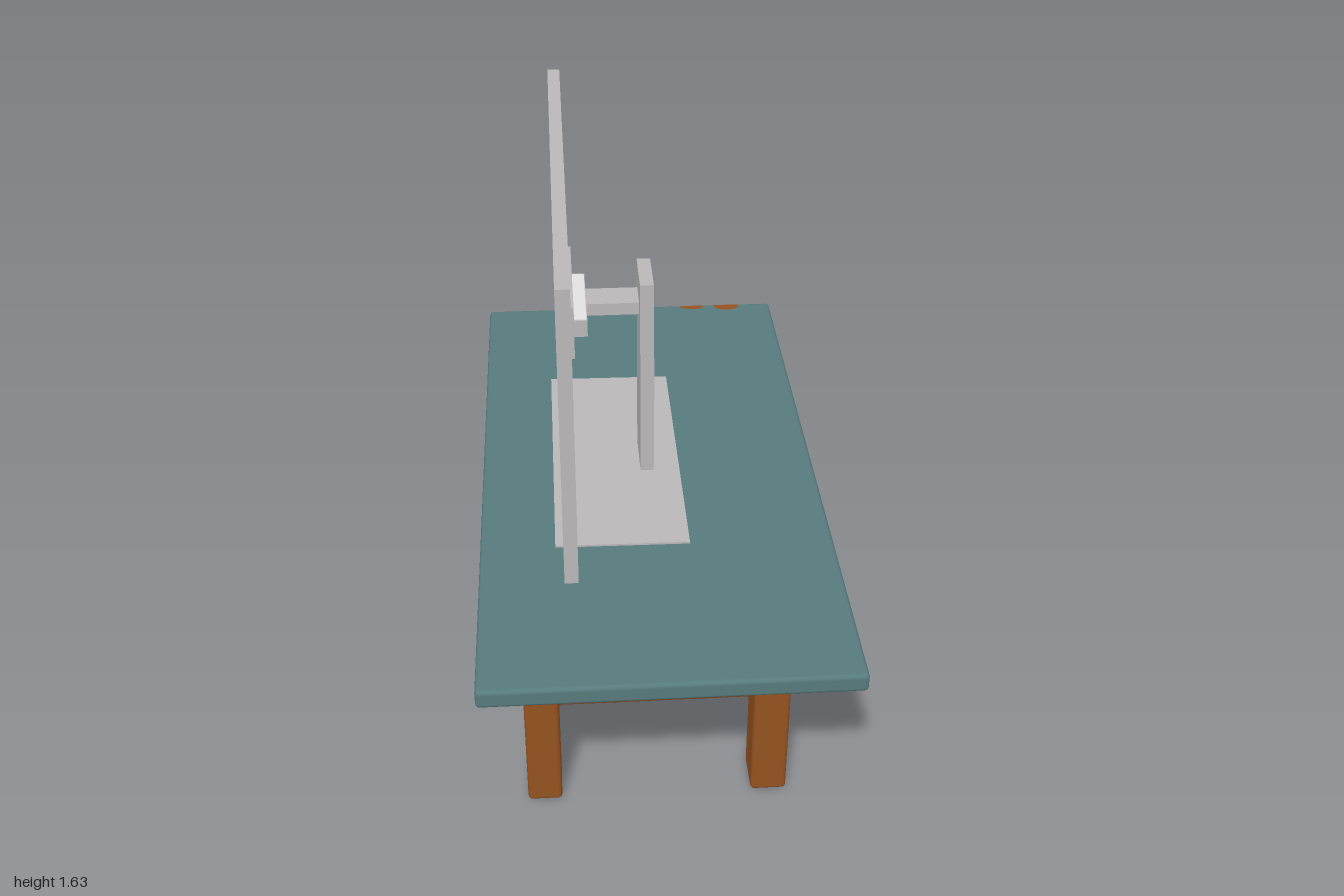
import * as THREE from 'three';
import { RoundedBoxGeometry } from 'three/addons/geometries/RoundedBoxGeometry.js';

const mat = (name, color, side = THREE.FrontSide) =>
  Object.assign(new THREE.MeshStandardMaterial({ color, side }), { name });

export function createModel() {
  const group = new THREE.Group();
  const teal = mat('teal paint', 0x577b7d);
  const wood = mat('brown wood', 0x955220, THREE.DoubleSide);
  const grey = mat('grey plastic', 0xbab8b8);
  const light = mat('light grey', 0xe2e2e2, THREE.DoubleSide);

  // Box given by its extents; r > 0 rounds the edges
  function box(name, material, [x0, x1], [y0, y1], [z0, z1], r = 0) {
    const s = [x1 - x0, y1 - y0, z1 - z0];
    const geo = r ? new RoundedBoxGeometry(...s, 2, r) : new THREE.BoxGeometry(...s);
    const mesh = new THREE.Mesh(geo, material);
    mesh.name = name;
    mesh.position.set((x0 + x1) / 2, (y0 + y1) / 2, (z0 + z1) / 2);
    group.add(mesh);
    return mesh;
  }

  // Flat patch from 2D points, in the shape's own plane
  function patch(name, material, points) {
    const shape = new THREE.Shape(points.map(([a, b]) => new THREE.Vector2(a, b)));
    const mesh = new THREE.Mesh(new THREE.ShapeGeometry(shape), material);
    mesh.name = name;
    group.add(mesh);
    return mesh;
  }

  // Horizontal patch from [x, z] points at height y
  function flatPatch(name, y, points) {
    const mesh = patch(name, wood, points.map(([x, z]) => [x, -z]));
    mesh.rotation.x = -Math.PI / 2;
    mesh.position.y = y;
  }

  // Table
  box('tableTop', teal, [-0.5, 0.5], [0.6, 0.655], [-1, 1], 0.012);
  for (const x of [[-0.39, -0.293], [0.248, 0.35]])
    for (const z of [[0.61, 0.737], [-0.755, -0.628]])
      box('leg', wood, x, [0, 0.602], z, 0.012);
  box('shelf', wood, [-0.337, 0.32], [0.28, 0.32], [-0.665, 0.655], 0.01);

  // Worn spots on the back edge of the top
  for (const [x, w, d] of [[0.222, 0.042, 0.025], [0.345, 0.046, 0.036]])
    flatPatch('wornSpot', 0.656,
      [[x - w, -0.991], [x + w, -0.991], [x + w * 0.9, -0.991 + d * 0.6], [x + w * 0.4, -0.991 + d],
        [x - w * 0.4, -0.991 + d], [x - w * 0.9, -0.991 + d * 0.6]]);

  // Worn spot underneath
  flatPatch('wornSpotBelow', 0.599, [[-0.2, -0.51], [-0.305, -0.55], [-0.35, -0.33], [-0.27, -0.3]]);

  // Monitor and stand
  box('screen', grey, [-0.265, -0.228], [0.763, 1.628], [-0.765, 0.713]);
  box('mountPlate', grey, [-0.23, -0.215], [1.13, 1.29], [-0.205, 0.177]);
  box('crossBar', grey, [-0.217, -0.177], [1.175, 1.225], [-0.157, 0.133]);
  box('crossBarCap', light, [-0.214, -0.179], [1.224, 1.2265], [-0.15, 0.126]);
  box('arm', grey, [-0.18, -0.02], [1.185, 1.222], [-0.065, 0.03]);
  box('column', grey, [-0.027, 0.012], [0.675, 1.3], [-0.092, 0.075]);
  box('standBase', grey, [-0.288, 0.09], [0.672, 0.678], [-0.47, 0.438]).rotation.z = -0.01;

  // Slanted light panel on the column face
  const panel = patch('columnPanel', light, [[-0.075, 0.68], [0.092, 0.68], [0.092, 0.785], [-0.055, 1.05], [-0.075, 1.065]]);
  panel.rotation.y = Math.PI / 2;
  panel.position.x = 0.0135;

  return group;
}
